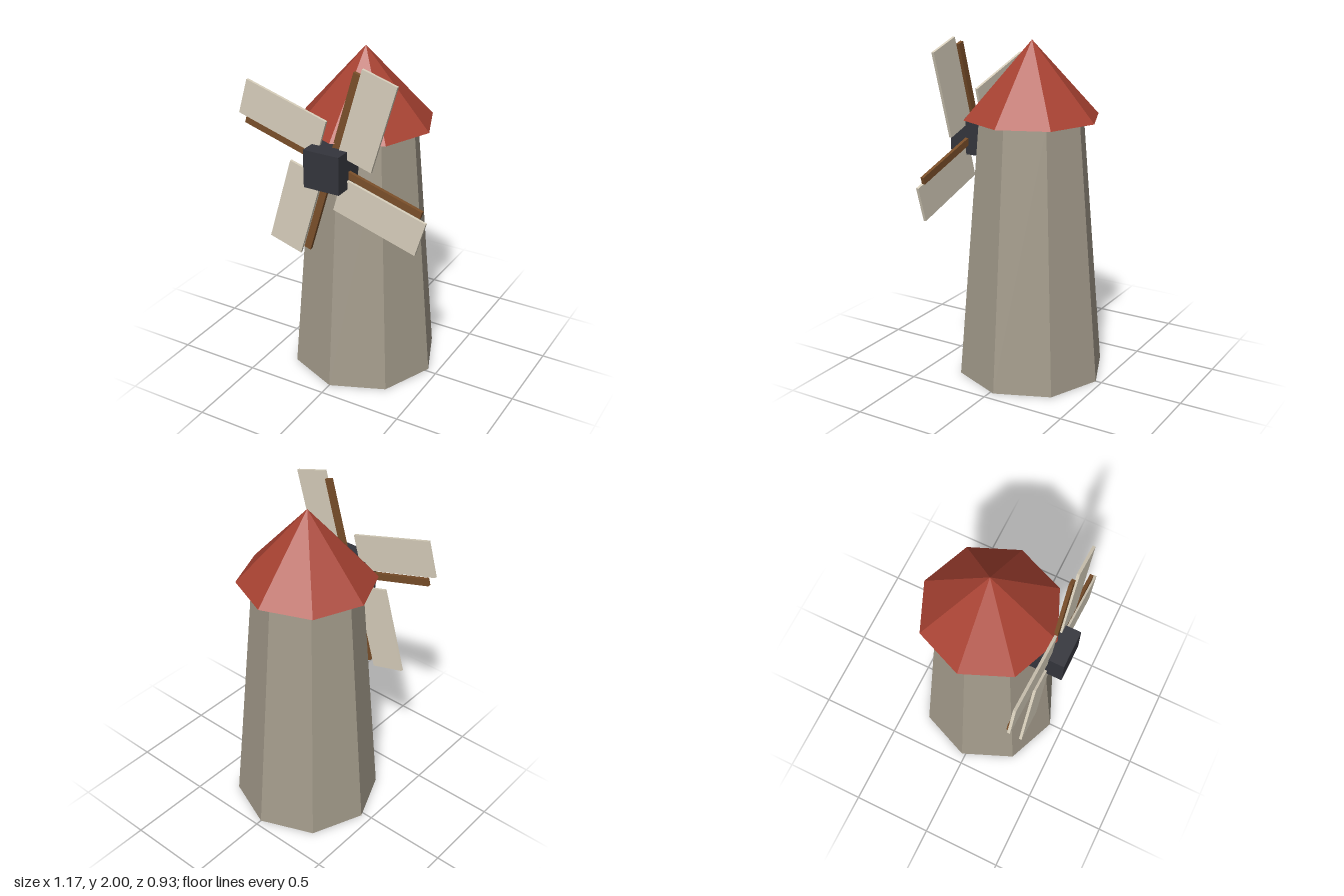
import * as THREE from 'three';

const material = (color) => new THREE.MeshStandardMaterial({ color, flatShading: true });

function part(name, geometry, mat, x, y, z) {
  const mesh = new THREE.Mesh(geometry, mat);
  mesh.name = name;
  mesh.position.set(x, y, z);
  return mesh;
}

export function createModel() {
  const windmill = new THREE.Group();
  windmill.name = 'windmill';

  const stone = material(0xa39b8b);
  const tile = material(0xa84232);
  const wood = material(0x7a4f2a);
  const canvas = material(0xd8cfbc);
  const iron = material(0x34353c);

  // Tapered octagonal tower and its overhanging pointed roof
  const towerZ = -0.023, eaves = 1.548, roofHeight = 0.437;
  windmill.add(
    part('tower', new THREE.CylinderGeometry(0.308, 0.44, eaves, 8), stone, 0, eaves / 2, towerZ),
    part('roof', new THREE.ConeGeometry(0.397, roofHeight, 8), tile, 0, eaves + roofHeight / 2, towerZ)
  );

  // Hub block, upright on the front of the tower
  const hubY = 1.413, hubZ = 0.353;
  windmill.add(part('hub', new THREE.BoxGeometry(0.22, 0.22, 0.22), iron, 0, hubY, hubZ));

  // Four blades: a wooden arm with a sail along its clockwise side
  const rotor = new THREE.Group();
  rotor.name = 'rotor';
  rotor.position.set(0, hubY, hubZ);
  rotor.rotation.z = -0.291;
  const armGeometry = new THREE.BoxGeometry(0.042, 0.573, 0.021);
  const sailGeometry = new THREE.BoxGeometry(0.213, 0.526, 0.016);
  for (let i = 0; i < 4; i++) {
    const blade = new THREE.Group();
    blade.name = `blade${i + 1}`;
    blade.rotation.z = -i * Math.PI / 2;
    blade.add(
      part('arm', armGeometry, wood, 0, 0.2865, -0.002),
      part('sail', sailGeometry, canvas, 0.132, 0.354, 0.012)
    );
    rotor.add(blade);
  }
  windmill.add(rotor);

  return windmill;
}
